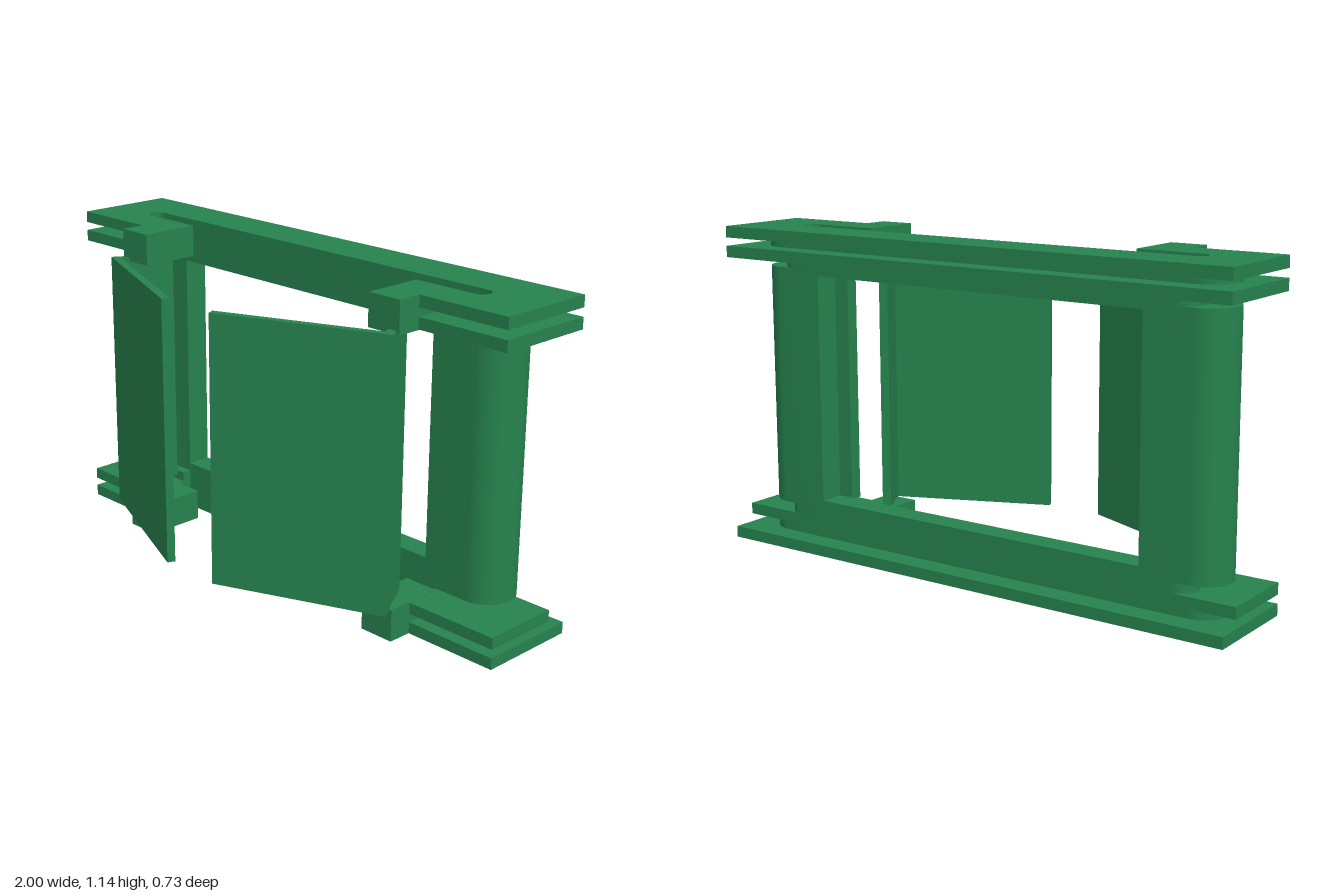
import * as THREE from 'three';
import { toCreasedNormals } from 'three/addons/utils/BufferGeometryUtils.js';

const HEIGHT = 1.14;
const CENTRE = -0.007; // the fittings sit slightly off the plates' centre
const green = new THREE.MeshStandardMaterial({ color: 0x26834e });
green.name = 'green';

// Upright prism from a plan outline of [x, z] points
function prism(name, outline, y0, y1) {
  const shape = new THREE.Shape(outline.map(([x, z]) => new THREE.Vector2(x, -z)));
  let geo = new THREE.ExtrudeGeometry(shape, { depth: y1 - y0, bevelEnabled: false });
  geo.rotateX(-Math.PI / 2);
  geo.translate(0, y0, 0);
  geo = toCreasedNormals(geo, 0.6);
  const mesh = new THREE.Mesh(geo, green);
  mesh.name = name;
  return mesh;
}

// Half circle bulging toward +x, running from z = cz + r to cz - r
function halfRound(cx, cz, r, steps = 20) {
  const pts = [];
  for (let i = 0; i <= steps; i++) {
    const a = Math.PI / 2 - (Math.PI * i) / steps;
    pts.push([cx + r * Math.cos(a), cz + r * Math.sin(a)]);
  }
  return pts;
}

// Put an outline drawn for +x on either side of the fitting centre
const onSide = (pts, s) => pts.map(([x, z]) => [s * x + CENTRE, z]);

const NOTCH = 0.652;             // inner end of the notches and columns
const SLOT_BACK = -0.195, SLOT_FRONT = -0.13;

// Plate half outline, from the front inner corner to the back outer corner
function plateEnd(s, back, slotted) {
  const inner = [s * NOTCH + CENTRE, 0];
  const pts = [[s, back], [s, 0], inner];
  if (slotted) {
    const r = (SLOT_FRONT - SLOT_BACK) / 2;
    pts.push(...onSide([[NOTCH, SLOT_FRONT], ...halfRound(0.805 - r, SLOT_BACK + r, r, 12), [NOTCH, SLOT_BACK]], s));
  } else {
    pts.push([inner[0], SLOT_BACK]);
  }
  return pts;
}

function plate(name, back, y0, y1, slotted) {
  const outline = [...plateEnd(1, back, slotted), ...plateEnd(-1, back, slotted).reverse()];
  return prism(name, outline, y0, y1);
}

// Column plan: rounded outside, flat inside with a vertical groove
function columnOutline() {
  const r = (SLOT_FRONT - SLOT_BACK) / 2;
  const groove = halfRound(0.805 - r, SLOT_BACK + r, r, 12).reverse();
  return [
    [NOTCH, -0.085], ...halfRound(0.825, -0.185, 0.1, 28), [NOTCH, -0.285],
    [NOTCH, SLOT_BACK], ...groove, [NOTCH, SLOT_FRONT],
  ];
}

export function createModel() {
  const model = new THREE.Group();
  model.name = 'slidingDoorFrame';

  // Paired rails: slotted outer plates and plain inner plates
  model.add(
    plate('bottomOuterPlate', -0.365, 0, 0.04, true),
    plate('bottomInnerPlate', -0.285, 0.07, 0.11, false),
    plate('topInnerPlate', -0.365, 1.03, 1.07, false),
    plate('topOuterPlate', -0.365, 1.10, HEIGHT, true),
  );

  // Rail cores joining each pair of plates
  const core = [[-0.66, -0.285], [0.646, -0.285], [0.646, -0.1955], [-0.66, -0.1955]];
  model.add(prism('bottomRailCore', core, 0.001, 0.175));
  model.add(prism('topRailCore', core, 0.98, HEIGHT - 0.001));

  for (const s of [1, -1]) {
    const side = new THREE.Group();
    side.name = s > 0 ? 'leftSide' : 'rightSide';
    model.add(side);

    // Grooved column, and matching spacers between the plates
    const column = onSide(columnOutline(), s);
    side.add(prism('column', column, 0.145, 1.0));
    side.add(prism('bottomSpacer', column, 0.04, 0.07));
    side.add(prism('topSpacer', column, 1.07, 1.10));

    // Necks between the column and the inner plates
    const neck = onSide([[NOTCH, -0.16], ...halfRound(0.765, -0.2225, 0.0625, 16), [NOTCH, -0.285]], s);
    side.add(prism('bottomNeck', neck, 0.11, 0.145));
    side.add(prism('topNeck', neck, 1.0, 1.03));

    // Slider blocks carrying the door
    const block = onSide([[0.535, 0.087], [0.664, 0.087], [0.664, SLOT_FRONT], [0.535, SLOT_FRONT]], s);
    side.add(prism('bottomSlider', block, 0, 0.112));
    side.add(prism('topSlider', block, 1.028, HEIGHT));

    // Angled door with a bent hinge flange
    const door = [
      [0.116, 0.363], [0.682, 0.125], [0.581, -0.05], [0.555, -0.035],
      [0.641, 0.113], [0.105, 0.337],
    ].map(([x, z]) => [s * x - 0.014, z]);
    side.add(prism('door', door, 0.105, 1.04));
  }
  return model;
}
